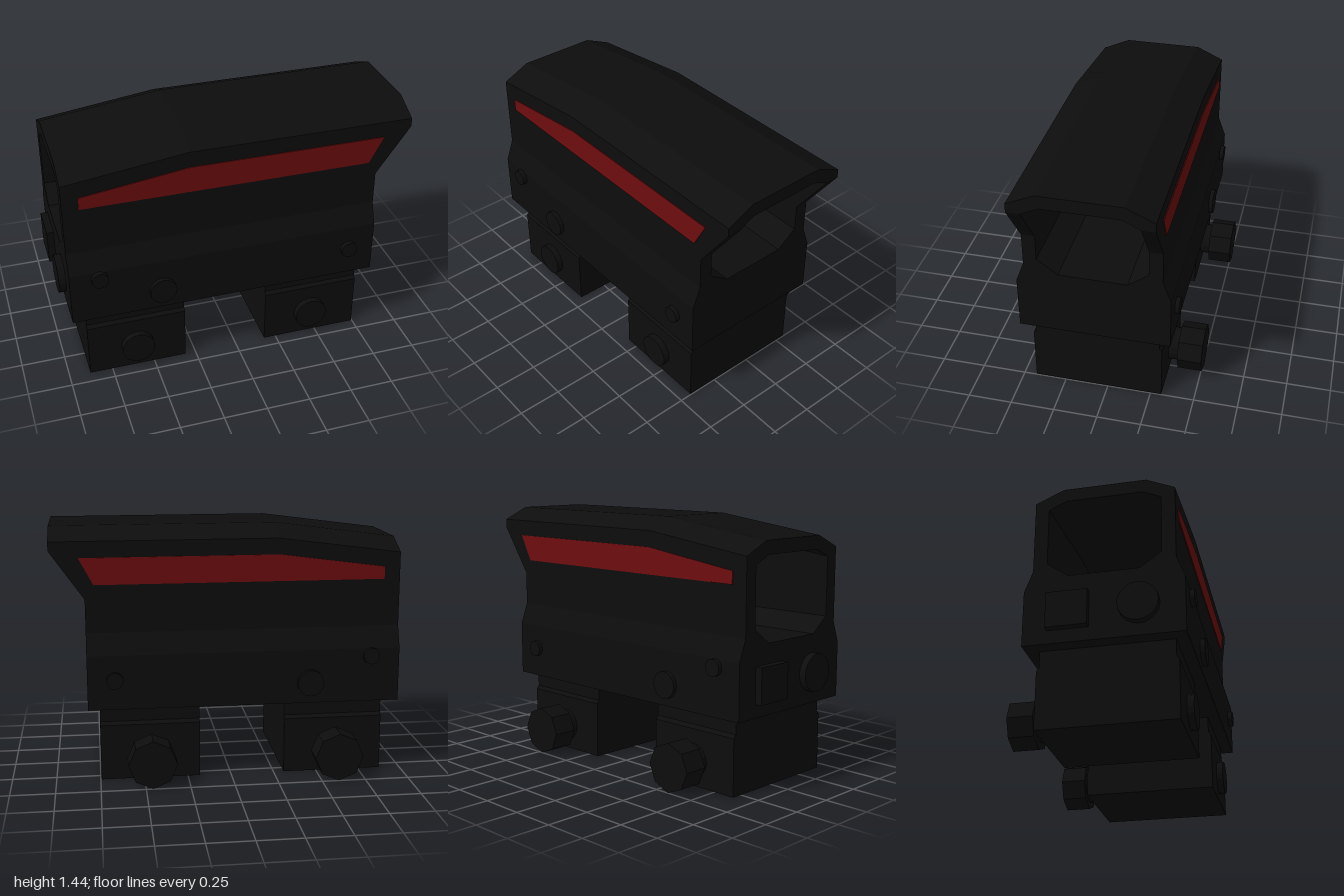
import * as THREE from 'three';

const MID = 0.055; // z of the sight's centre line

const black = new THREE.MeshStandardMaterial({ color: 0x0d0d0d, flatShading: true });
black.name = 'matte black';
const red = new THREE.MeshStandardMaterial({ color: 0x6e0d0f, side: THREE.DoubleSide });
red.name = 'dark red';

// Half sections as [half width, height], from the bottom up
const OUTER = [[0.425, 0.43], [0.425, 0.74], [0.38, 0.86], [0.38, 1.05], [0.38, 1.32], [0.38, 1.37], [0.225, 1.44]];
const INNER = [[0.19, 0.815], [0.25, 0.859], [0.305, 0.9], [0.305, 1.05], [0.305, 1.32], [0.305, 1.32], [0.21, 1.365]];

// Hollow housing: three sections lofted along x, with a raked hood at the +x end
function housingGeometry() {
  const ring = (half, station) => {
    const full = [...half, ...half.slice().reverse().map(([w, y]) => [-w, y])];
    return full.map(([w, y]) => {
      const rake = THREE.MathUtils.clamp((y - 1.05) / 0.27, 0, 1) * 0.19;
      const x = [-0.96, -0.27, 0.81 + rake][station];
      const drop = station === 0 && y > 1.3 ? 0.09 : 0;
      return [x, y - drop, MID + w];
    });
  };
  const pos = [];
  const quad = (a, b, c, d) => pos.push(...a, ...b, ...c, ...a, ...c, ...d);
  const outer = [0, 1, 2].map((s) => ring(OUTER, s));
  const inner = [0, 1, 2].map((s) => ring(INNER, s));
  const n = outer[0].length;
  for (let i = 0; i < n; i++) {
    const j = (i + 1) % n;
    for (let s = 0; s < 2; s++) {
      quad(outer[s][i], outer[s + 1][i], outer[s + 1][j], outer[s][j]);
      quad(inner[s][j], inner[s + 1][j], inner[s + 1][i], inner[s][i]);
    }
    quad(outer[2][i], inner[2][i], inner[2][j], outer[2][j]); // hood rim
    quad(outer[0][j], inner[0][j], inner[0][i], outer[0][i]); // eyepiece rim
  }
  const geo = new THREE.BufferGeometry();
  geo.setAttribute('position', new THREE.Float32BufferAttribute(pos, 3));
  geo.computeVertexNormals();
  return geo;
}

function shapeOf(points) {
  return new THREE.Shape(points.map(([x, y]) => new THREE.Vector2(x, y)));
}

export function createModel() {
  const model = new THREE.Group();
  model.name = 'weaponSight';
  const add = (name, geo, mat = black) => {
    const mesh = new THREE.Mesh(geo, mat);
    mesh.name = name;
    model.add(mesh);
    return mesh;
  };
  // Round part lying along z from z0 to z1
  const disc = (name, x, y, z0, z1, r, sides) => {
    const geo = new THREE.CylinderGeometry(r, r, Math.abs(z1 - z0), sides);
    geo.rotateX(Math.PI / 2);
    add(name, geo).position.set(x, y, (z0 + z1) / 2);
  };

  add('housing', housingGeometry());

  // Red side stripes
  const stripe = new THREE.ExtrudeGeometry(
    shapeOf([[-0.87, 1.13], [0.76, 1.13], [0.84, 1.28], [-0.27, 1.28], [-0.87, 1.2]]),
    { depth: 0.006, bevelEnabled: false });
  add('leftStripe', stripe, red).position.z = MID + 0.379;
  add('rightStripe', stripe, red).position.z = MID - 0.385;

  // Reticle: four arcs and a centre dot
  const reticle = new THREE.Group();
  reticle.name = 'reticle';
  for (let i = 0; i < 4; i++) {
    const arc = new THREE.RingGeometry(0.08, 0.1, 2, 1, i * Math.PI / 2 + Math.PI / 18, Math.PI * 7 / 18);
    const mesh = new THREE.Mesh(arc, red);
    mesh.name = 'reticleArc';
    reticle.add(mesh);
  }
  const dot = new THREE.Mesh(new THREE.PlaneGeometry(0.022, 0.02), red);
  dot.name = 'reticleDot';
  reticle.add(dot);
  reticle.rotation.y = Math.PI / 2;
  reticle.position.set(0, 1.05, MID + 0.005);
  model.add(reticle);

  // Rail clamps with a bolt in front and a thumb knob behind
  const clampShape = shapeOf([[-0.37, 0], [0.37, 0], [0.37, 0.32], [0.355, 0.34],
    [0.355, 0.44], [-0.355, 0.44], [-0.355, 0.34], [-0.37, 0.32]]);
  for (const [x0, x1, knobX] of [[-0.88, -0.31, -0.595], [0.18, 0.745, 0.46]]) {
    const geo = new THREE.ExtrudeGeometry(clampShape, { depth: x1 - x0, bevelEnabled: false });
    geo.rotateY(Math.PI / 2);
    add('railClamp', geo).position.set(x0, 0, MID + 0.003);
    disc('clampBolt', knobX, 0.145, 0.4, 0.465, 0.095, 16);
    disc('knobShaft', knobX, 0.145, -0.29, -0.38, 0.095, 16);
    disc('clampKnob', knobX, 0.143, -0.37, -0.51, 0.137, 8);
  }

  // Screw heads on both sides of the body
  for (const [x, y, r] of [[-0.795, 0.697, 0.047], [-0.447, 0.55, 0.076], [0.657, 0.6, 0.047]]) {
    disc('leftScrew', x, y, 0.46, 0.506, r, 16);
    disc('rightScrew', x, y, -0.35, -0.394, r, 16);
  }

  // Buttons on the eyepiece end
  const round = new THREE.CylinderGeometry(0.108, 0.108, 0.06, 20);
  round.rotateZ(Math.PI / 2);
  add('roundButton', round).position.set(-0.97, 0.605, 0.24);
  add('squareButton', new THREE.BoxGeometry(0.06, 0.2, 0.22)).position.set(-0.97, 0.605, -0.13);

  return model;
}
